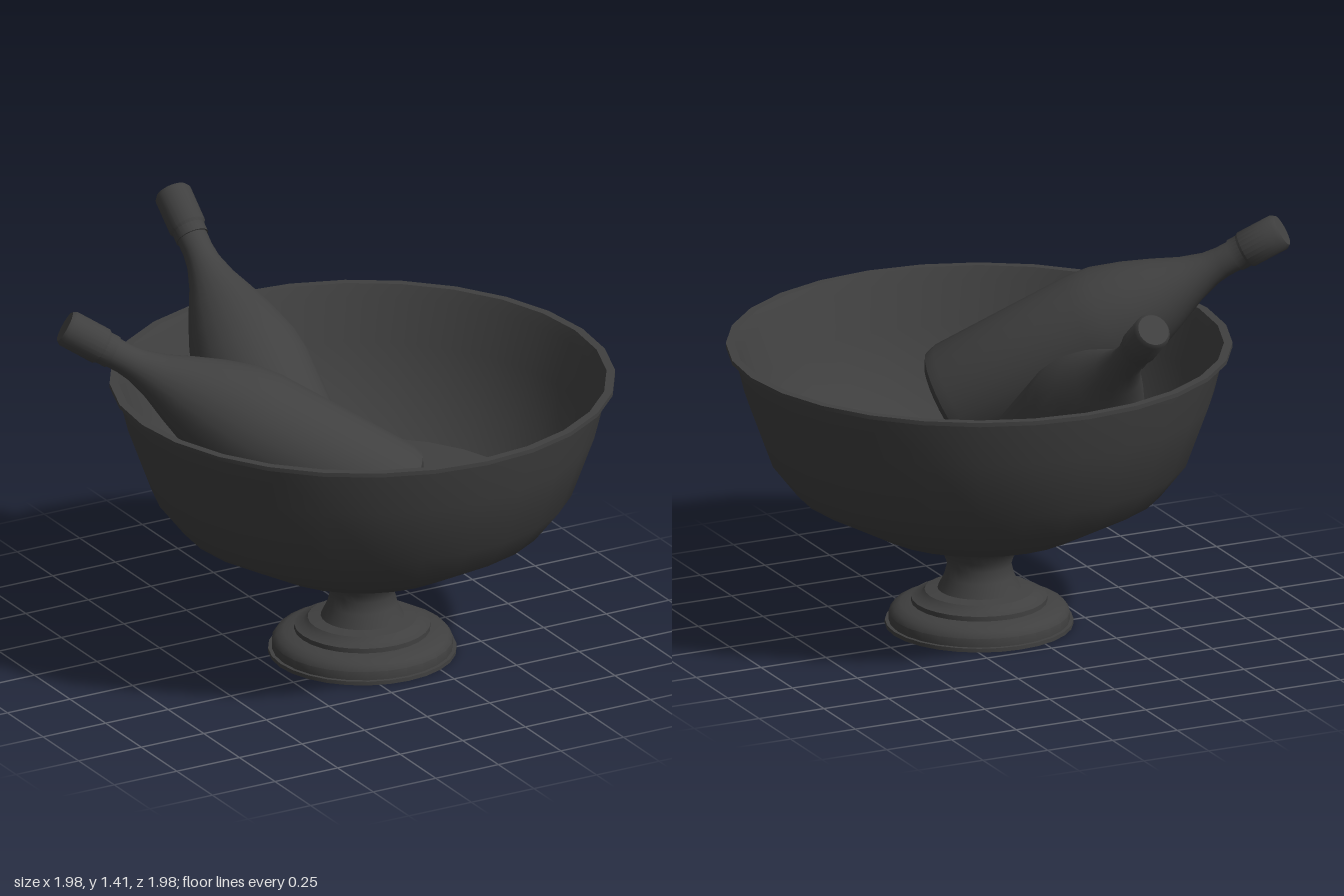
import * as THREE from 'three';
import { toCreasedNormals } from 'three/addons/utils/BufferGeometryUtils.js';

const material = new THREE.MeshStandardMaterial({ color: 0x404040, side: THREE.DoubleSide });

// Turned part from [radius, height] pairs, listed so the outside faces out
function turned(name, profile, segments) {
  const points = profile.map(([r, y]) => new THREE.Vector2(r, y));
  const geometry = toCreasedNormals(new THREE.LatheGeometry(points, segments), 0.65);
  const mesh = new THREE.Mesh(geometry, material);
  mesh.name = name;
  return mesh;
}

// Bottle whose top centre sits at `top`, leaning by an elevation and a heading (degrees)
function bottle(name, top, elevation, heading) {
  const group = new THREE.Group();
  group.name = name;
  group.add(
    turned('bottleGlass', [
      [0, -1.31], [0.12, -1.34], [0.17, -1.34], [0.2, -1.32], [0.21, -1.28],
      [0.21, -0.75], [0.2, -0.67], [0.165, -0.56], [0.125, -0.46],
      [0.085, -0.37], [0.06, -0.29], [0.054, -0.24], [0.054, -0.15],
    ], 24),
    turned('bottleCap', [
      [0.054, -0.19], [0.059, -0.19], [0.059, -0.155], [0.066, -0.145],
      [0.066, -0.015], [0.056, 0], [0, 0],
    ], 24),
  );
  const el = THREE.MathUtils.degToRad(elevation);
  const az = THREE.MathUtils.degToRad(heading);
  const down = new THREE.Vector3(
    Math.cos(el) * Math.cos(az), -Math.sin(el), Math.cos(el) * Math.sin(az));
  group.quaternion.setFromUnitVectors(new THREE.Vector3(0, -1, 0), down);
  group.position.set(...top);
  return group;
}

export function createModel() {
  const model = new THREE.Group();
  model.name = 'bottleCooler';

  // Bowl: outer wall, flat flange, inner wall and raised floor
  const bowl = turned('bowl', [
    [0.1, 0.352], [0.17, 0.352], [0.375, 0.365], [0.645, 0.51], [0.735, 0.625],
    [0.815, 0.845], [0.855, 1.005], [0.88, 1.01], [0.88, 1.025], [0.85, 1.025],
    [0.83, 0.98], [0.785, 0.83], [0.71, 0.65], [0.62, 0.54], [0, 0.54],
  ], 28);

  // Foot: hollow stepped base, narrow waist and collar
  const foot = turned('foot', [
    [0.328, 0], [0.328, 0.014], [0.315, 0.014], [0.315, 0.045], [0.3, 0.065],
    [0.275, 0.077], [0.237, 0.083], [0.237, 0.1], [0.205, 0.108], [0.19, 0.125],
    [0.145, 0.132], [0.122, 0.18], [0.112, 0.22], [0.122, 0.25], [0.14, 0.285],
    [0.172, 0.305], [0.172, 0.355],
  ], 28);

  for (const part of [bowl, foot]) part.position.set(0.105, 0, 0.11);

  model.add(
    bowl,
    foot,
    bottle('backBottle', [-0.05, 1.37, -0.957], 40, 90),
    bottle('sideBottle', [-0.955, 1.35, -0.115], 30, 30),
  );
  return model;
}
